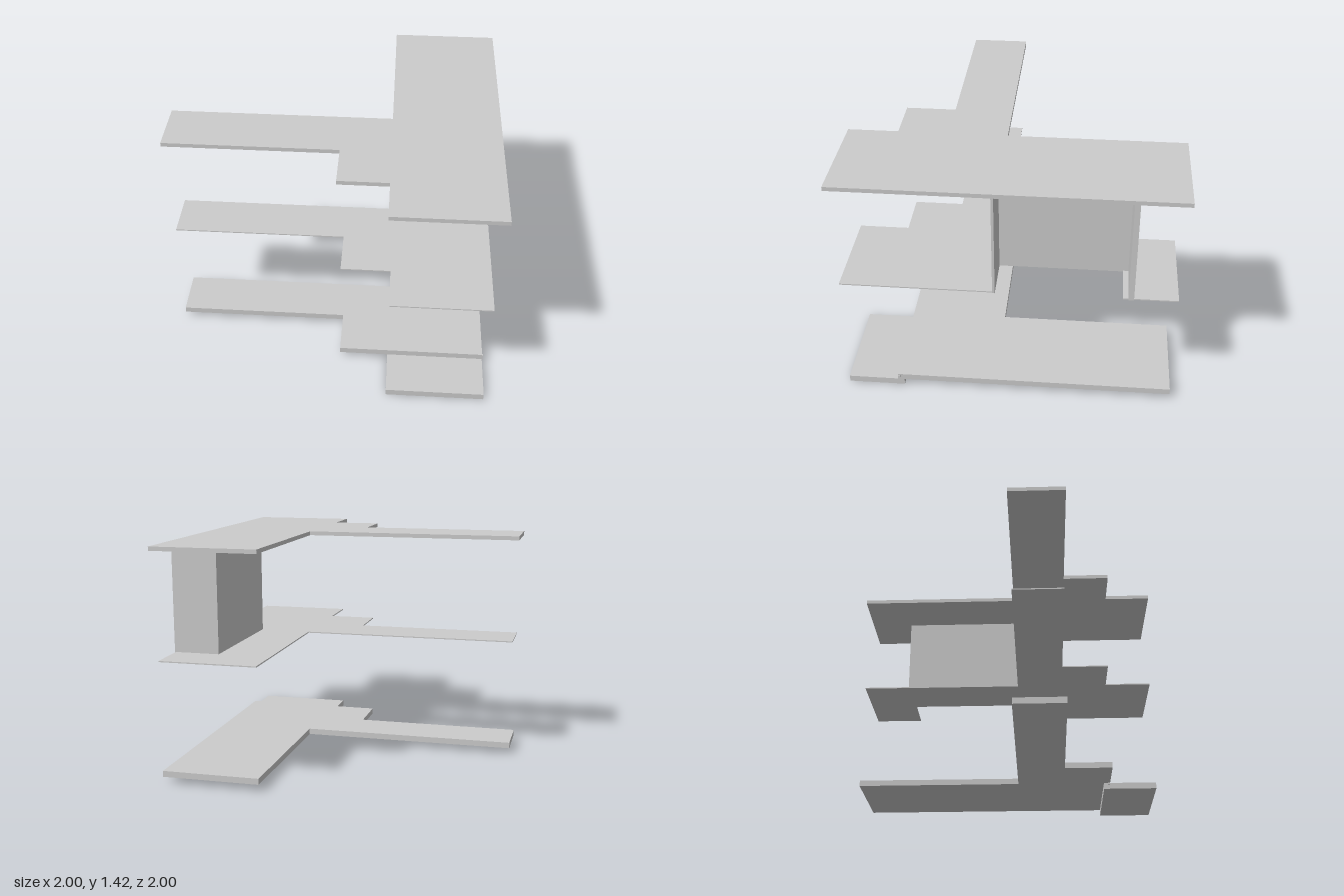
import * as THREE from 'three';

const material = new THREE.MeshStandardMaterial({ color: 0xcccccc, flatShading: true });

// Flat plate from an outline of [x, z] corners, between two heights
function plate(name, outline, bottom, top) {
  const shape = new THREE.Shape(outline.map(([x, z]) => new THREE.Vector2(x, z)));
  const geometry = new THREE.ExtrudeGeometry(shape, { depth: top - bottom, bevelEnabled: false });
  geometry.rotateX(Math.PI / 2).translate(0, top, 0);
  const mesh = new THREE.Mesh(geometry, material);
  mesh.name = name;
  return mesh;
}

// Box given by its limits on each axis
function block(name, [x0, x1], [y0, y1], [z0, z1]) {
  const mesh = new THREE.Mesh(new THREE.BoxGeometry(x1 - x0, y1 - y0, z1 - z0), material);
  mesh.position.set((x0 + x1) / 2, (y0 + y1) / 2, (z0 + z1) / 2);
  mesh.name = name;
  return mesh;
}

// Stepped floor outline with a long side wing, shrunk by an inset.
// front: how far the main body reaches; notch: corners cut into the +x edge
function floorOutline(inset, front, notch = []) {
  const i = inset;
  const step = 0.7 - i;
  const corner = front > step ? [[0.35 + i, step], [0.35 + i, front]] : [];
  return [
    [0.35 + i, -1 + i], [0.35 + i, 0.05 + i], [-1 + i, 0.05 + i], [-1 + i, 0.4 - i],
    [0.05 + i, 0.4 - i], [0.05 + i, step], ...corner,
    [1 - i, front], ...notch, [1 - i, -1 + i],
  ];
}

export function createModel() {
  const model = new THREE.Group();
  model.name = 'splitLevelBuilding';

  // Roof and the two floors below it
  model.add(plate('roofSlab', floorOutline(0, 1), 1.395, 1.42));
  const stairwell = [[0.975, 0.07], [0.71, 0.07], [0.71, -0.66], [0.975, -0.66]];
  model.add(plate('upperFloor', floorOutline(0.025, 0.975, stairwell), 0.742, 0.749));
  model.add(plate('groundFloor', floorOutline(0.025, 0.675), 0.04, 0.077));

  // Sunken front floor and the thin fascia at the level change
  model.add(block('sunkenFloor', [0.375, 0.975], [0, 0.04], [0.635, 0.975]));
  model.add(block('stepFascia', [0.365, 0.98], [0.03, 0.07], [0.66, 0.674]));

  // Three walls around the open stairwell
  const height = [0.743, 1.395];
  model.add(block('frontWall', [0.7, 0.982], height, [0.07, 0.085]));
  model.add(block('innerWall', [0.7, 0.712], height, [-0.69, 0.07]));
  model.add(block('backWall', [0.7, 0.982], height, [-0.722, -0.69]));
  return model;
}
